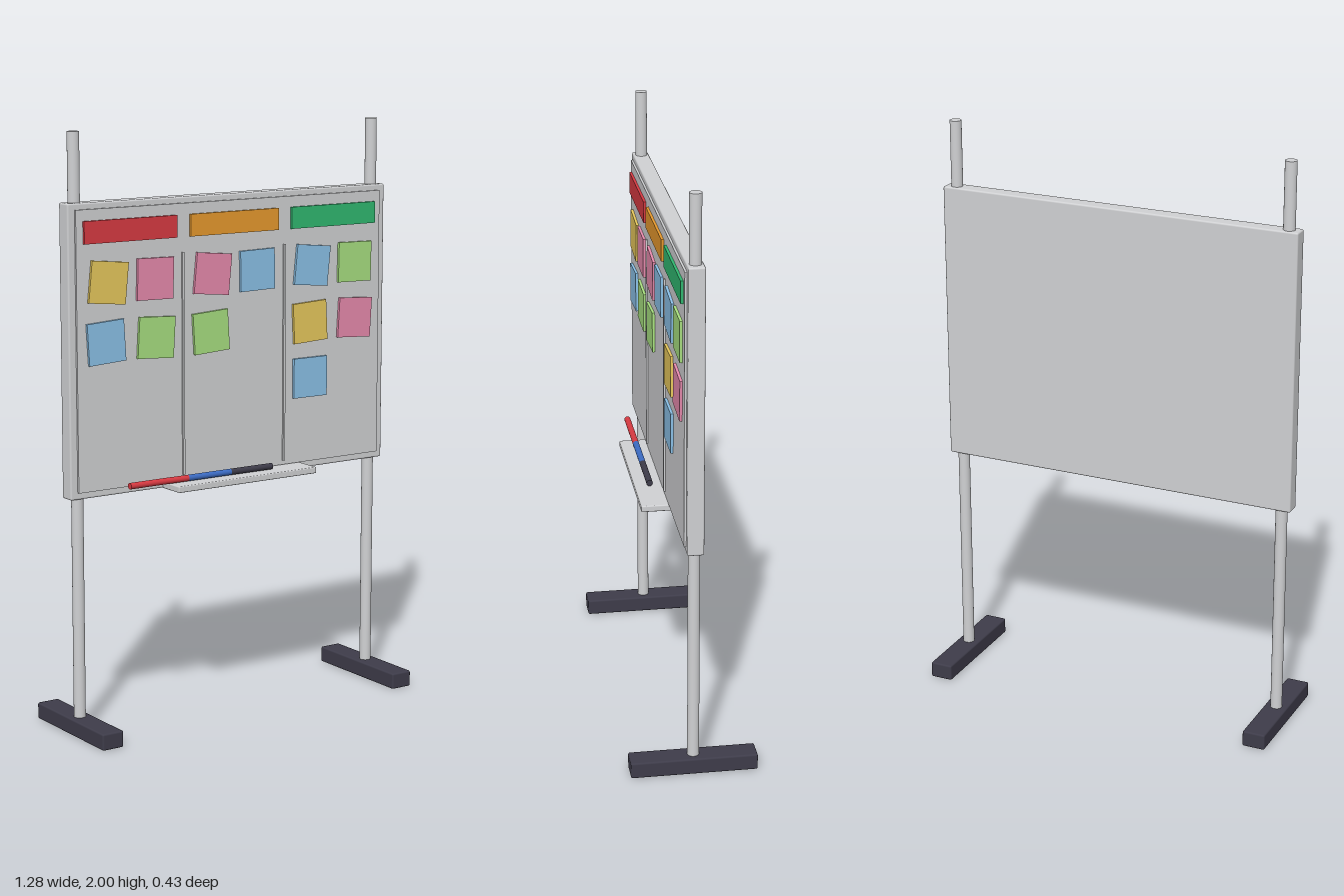
import * as THREE from 'three';
import { RoundedBoxGeometry } from 'three/addons/geometries/RoundedBoxGeometry.js';

const paint = (name, color) => {
  const m = new THREE.MeshStandardMaterial({ color });
  m.name = name;
  return m;
};

export function createModel() {
  const group = new THREE.Group();
  group.name = 'mobileTaskBoard';

  const grey = paint('light grey', 0xd0d1d3);
  const dark = paint('charcoal', 0x3e3c4a);
  const red = paint('red', 0xd83a42);
  const orange = paint('orange', 0xf0a030);
  const green = paint('green', 0x30b870);
  const yellow = paint('note yellow', 0xf0d060);
  const pink = paint('note pink', 0xf090b4);
  const sky = paint('note blue', 0x90c8f0);
  const lime = paint('note green', 0xa8e080);
  const blue = paint('pen blue', 0x3c6cc4);

  const add = (name, geometry, material, x, y, z) => {
    const mesh = new THREE.Mesh(geometry, material);
    mesh.name = name;
    mesh.position.set(x, y, z);
    group.add(mesh);
    return mesh;
  };
  const softBox = (w, h, d, r) => new RoundedBoxGeometry(w, h, d, 2, r);

  // Posts and feet
  for (const side of [-1, 1]) {
    const label = side > 0 ? 'left' : 'right';
    add(label + 'Post', new THREE.CylinderGeometry(0.02, 0.02, 1.96, 20), grey, side * 0.6, 1.02, 0);
    add(label + 'Foot', softBox(0.08, 0.056, 0.426, 0.006), dark, side * 0.6, 0.028, 0);
  }

  // Frame with the raised writing surface
  add('frame', softBox(1.28, 0.97, 0.055, 0.006), grey, 0, 1.287, 0);
  add('writingSurface', new THREE.BoxGeometry(1.228, 0.926, 0.02), grey, 0, 1.288, 0.025);

  // Column dividers
  for (const x of [-0.206, 0.206]) {
    add('columnDivider', new THREE.BoxGeometry(0.008, 0.75, 0.008), grey, x, 1.215, 0.037);
  }

  // Column headers
  [red, orange, green].forEach((material, i) => {
    add('columnHeader', new THREE.BoxGeometry(0.356, 0.074, 0.009), material, (i - 1) * 0.41, 1.677, 0.0395);
  });

  // Sticky notes: colour, x, y, tilt
  const notes = [
    [yellow, -0.497, 1.51, -0.1], [pink, -0.317, 1.51, -0.02],
    [sky, -0.507, 1.315, 0.06], [lime, -0.314, 1.315, -0.06],
    [pink, -0.09, 1.51, -0.1], [sky, 0.092, 1.51, 0.02], [lime, -0.097, 1.315, 0.06],
    [sky, 0.321, 1.51, -0.1], [lime, 0.503, 1.51, -0.02],
    [yellow, 0.313, 1.315, 0.05], [pink, 0.505, 1.315, -0.06], [sky, 0.315, 1.122, 0],
  ];
  const noteGeometry = new THREE.BoxGeometry(0.14, 0.138, 0.009);
  for (const [material, x, y, tilt] of notes) {
    add('stickyNote', noteGeometry, material, x, y, 0.0395).rotation.z = tilt;
  }

  // Pen tray and the pens lying end to end
  add('penTray', softBox(0.566, 0.022, 0.105, 0.004), grey, 0, 0.812, 0.0735);
  const pens = [['redPen', red, -0.444, -0.215], ['bluePen', blue, -0.215, -0.043], ['blackPen', dark, -0.043, 0.127]];
  for (const [name, material, x0, x1] of pens) {
    const geometry = new THREE.CylinderGeometry(0.011, 0.011, x1 - x0, 12).rotateZ(Math.PI / 2);
    add(name, geometry, material, (x0 + x1) / 2, 0.836, 0.076);
  }

  return group;
}
